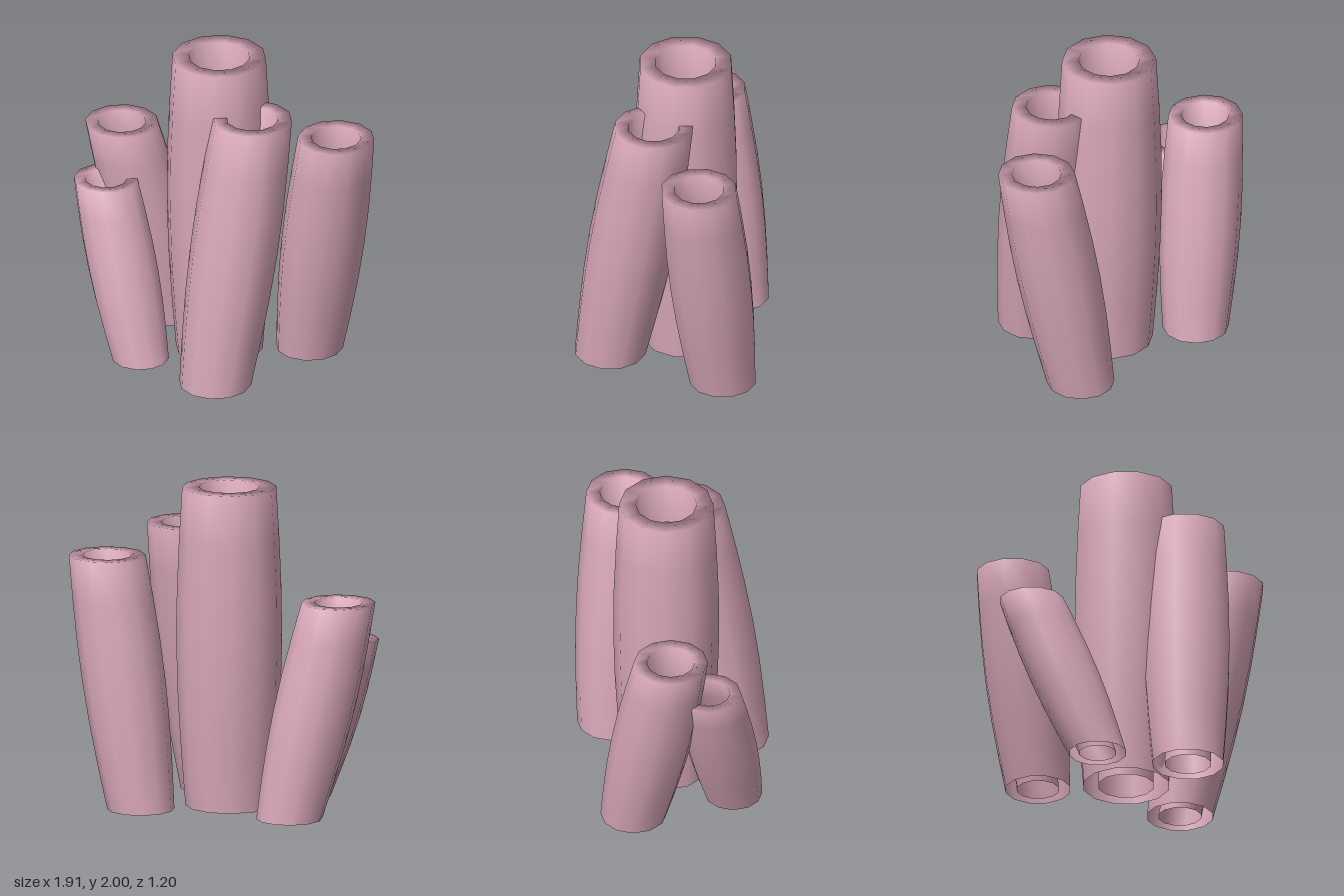
import * as THREE from 'three';
import { mergeVertices } from 'three/addons/utils/BufferGeometryUtils.js';

const SIDES = 12;
const RINGS = 6;

// Hollow tube, open below: bulging outer wall, flat rim, inner wall.
// Every ring stays level while the axis leans from base to top.
function tubeGeometry({ height, base, top, rBase, rTop }) {
  const k = 1 / Math.cos(Math.PI / SIDES); // measured across the flats
  const bulge = 0.17 * rBase;
  const outer = [], inner = [];
  for (let i = 0; i <= RINGS; i++) {
    const t = i / RINGS;
    const r = THREE.MathUtils.lerp(rBase, rTop, t);
    outer.push(new THREE.Vector2((r + bulge * Math.sin(Math.PI * t)) * k, t * height));
    inner.unshift(new THREE.Vector2(r * 0.65 * k, t * height));
  }
  const lathe = new THREE.LatheGeometry([...outer, ...inner], SIDES, Math.PI / SIDES);
  lathe.deleteAttribute('uv');
  lathe.deleteAttribute('normal');
  const pos = lathe.attributes.position;
  for (let i = 0; i < pos.count; i++) {
    const t = pos.getY(i) / height;
    pos.setX(i, pos.getX(i) + THREE.MathUtils.lerp(base[0], top[0], t));
    pos.setZ(i, pos.getZ(i) + THREE.MathUtils.lerp(base[1], top[1], t));
  }
  const geometry = mergeVertices(lathe, 1e-4);
  geometry.computeVertexNormals();
  return geometry;
}

export function createModel() {
  const group = new THREE.Group();
  group.name = 'tubeCluster';
  const pink = new THREE.MeshStandardMaterial({ color: 0xd8a7b8, side: THREE.DoubleSide });
  pink.name = 'dusty pink';

  // base and top are the [x, z] centres of the two ends
  const tubes = [
    { name: 'centreTube', height: 2, base: [-0.025, -0.08], top: [-0.025, -0.08], rBase: 0.26, rTop: 0.28 },
    { name: 'frontTube', height: 1.725, base: [0.145, 0.385], top: [0.28, 0.12], rBase: 0.215, rTop: 0.237 },
    { name: 'leftTube', height: 1.555, base: [0.485, -0.3], top: [0.725, -0.15], rBase: 0.2, rTop: 0.228 },
    { name: 'rightBackTube', height: 1.335, base: [-0.465, -0.4], top: [-0.74, -0.235], rBase: 0.197, rTop: 0.22 },
    { name: 'rightFrontTube', height: 1.055, base: [-0.415, 0.245], top: [-0.745, 0.005], rBase: 0.172, rTop: 0.192 },
  ];
  for (const tube of tubes) {
    const mesh = new THREE.Mesh(tubeGeometry(tube), pink);
    mesh.name = tube.name;
    group.add(mesh);
  }
  return group;
}
